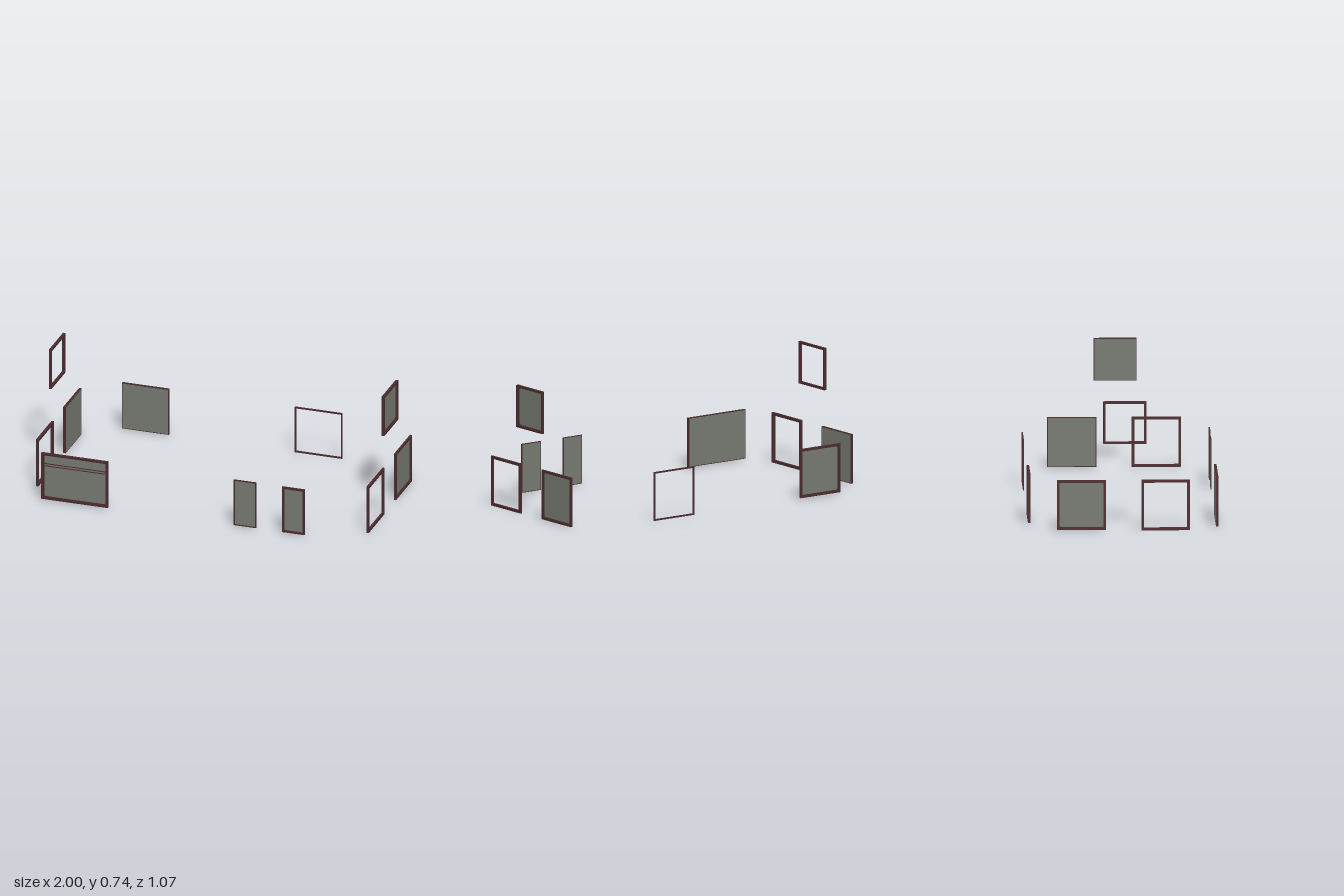
import * as THREE from 'three';

const frameMat = new THREE.MeshStandardMaterial({ color: 0x4a2b2d });
frameMat.name = 'dark brown wood';
const glassMat = new THREE.MeshStandardMaterial({ color: 0x767a70 });
glassMat.name = 'grey green glass';

// Flat rectangular ring: outer size w x h, bar width, depth along +z from 0
function ring(w, h, bar, depth) {
  const rect = (target, x, y) => target.moveTo(-x, -y).lineTo(x, -y).lineTo(x, y).lineTo(-x, y).closePath();
  const shape = rect(new THREE.Shape(), w / 2, h / 2);
  shape.holes.push(rect(new THREE.Path(), w / 2 - bar, h / 2 - bar));
  return new THREE.ExtrudeGeometry(shape, { depth, bevelEnabled: false });
}

function add(parent, name, geometry, material, x = 0, y = 0, z = 0) {
  const mesh = new THREE.Mesh(geometry, material);
  mesh.name = name;
  mesh.position.set(x, y, z);
  parent.add(mesh);
  return mesh;
}

// Window whose inner face lies at local z = 0 and whose frame rises toward +z
function makeWindow({ name, w, h, depth, bar, glass, transom }) {
  const group = new THREE.Group();
  group.name = name;
  add(group, 'outerFrame', ring(w, h, bar, depth), frameMat);
  if (!glass) return group;

  // pane covers the inner face, leaving a thin rim of frame
  add(group, 'glassPane', new THREE.BoxGeometry(w - 0.008, h - 0.008, 0.003), glassMat, 0, 0, 0.001);
  if (depth > 0.01) {
    // stepped bead inside the frame and a small pin in every corner
    const bead = add(group, 'innerBead', ring(w - 2 * bar, h - 2 * bar, 0.004, depth * 0.55), frameMat);
    bead.position.z = 0.001;
    for (const sx of [-1, 1]) for (const sy of [-1, 1]) {
      add(group, 'cornerPin', new THREE.BoxGeometry(0.004, 0.004, 0.002), frameMat,
        sx * (w / 2 - bar - 0.008), sy * (h / 2 - bar - 0.008), 0.003);
    }
  }
  // pair of thin bars across the upper part
  if (transom) for (const y of [-0.007, 0.007]) {
    add(group, 'transomBar', new THREE.BoxGeometry(w - 2 * bar, 0.004, 0.006), frameMat, 0, transom + y, 0.004);
  }
  return group;
}

export function createModel() {
  const model = new THREE.Group();
  model.name = 'windowSet';

  // u0..u1 runs along the wall, y0..y1 up, inner is the wall coordinate of the inner face
  const windows = [
    { name: 'frontWideWindow', wall: 'front', u: [-0.907, -0.508], y: [0.005, 0.289], inner: 0.52, depth: 0.014, bar: 0.012, glass: true, transom: 0.068 },
    { name: 'frontNarrowWindowInner', wall: 'front', u: [0.24, 0.374], y: [0.007, 0.288], inner: 0.521, depth: 0.006, bar: 0.006, glass: true },
    { name: 'frontNarrowWindowOuter', wall: 'front', u: [0.53, 0.664], y: [0.007, 0.288], inner: 0.521, depth: 0.008, bar: 0.013, glass: true },
    { name: 'backWindow', wall: 'back', u: [-0.789, -0.508], y: [0.007, 0.288], inner: -0.523, depth: 0.014, bar: 0.011, glass: true },
    { name: 'backOpenFrame', wall: 'back', u: [0.24, 0.524], y: [0.007, 0.288], inner: -0.53, depth: 0.007, bar: 0.009 },
    { name: 'leftFrontOpenFrame', wall: 'left', u: [0.097, 0.375], y: [0.002, 0.288], inner: 0.979, depth: 0.013, bar: 0.015 },
    { name: 'leftBackWindow', wall: 'left', u: [-0.38, -0.102], y: [0.004, 0.288], inner: 0.979, depth: 0.013, bar: 0.011, glass: true },
    { name: 'leftUpperWindow', wall: 'left', u: [-0.118, 0.125], y: [0.497, 0.74], inner: 0.984, depth: 0.016, bar: 0.011, glass: true },
    { name: 'rightFrontOpenFrame', wall: 'right', u: [0.097, 0.37], y: [0, 0.288], inner: -0.979, depth: 0.015, bar: 0.015 },
    { name: 'rightBackWindow', wall: 'right', u: [-0.38, -0.102], y: [0.004, 0.288], inner: -0.979, depth: 0.015, bar: 0.011, glass: true },
    { name: 'rightUpperOpenFrame', wall: 'right', u: [-0.118, 0.125], y: [0.497, 0.74], inner: -0.985, depth: 0.015, bar: 0.013 },
  ];
  const turn = { front: 0, back: Math.PI, left: Math.PI / 2, right: -Math.PI / 2 };

  for (const spec of windows) {
    const [u0, u1] = spec.u, [y0, y1] = spec.y;
    const win = makeWindow({ ...spec, w: u1 - u0, h: y1 - y0 });
    const along = (u0 + u1) / 2, up = (y0 + y1) / 2;
    if (spec.wall === 'front' || spec.wall === 'back') win.position.set(along, up, spec.inner);
    else win.position.set(spec.inner, up, along);
    win.rotation.y = turn[spec.wall];
    model.add(win);
  }
  return model;
}
